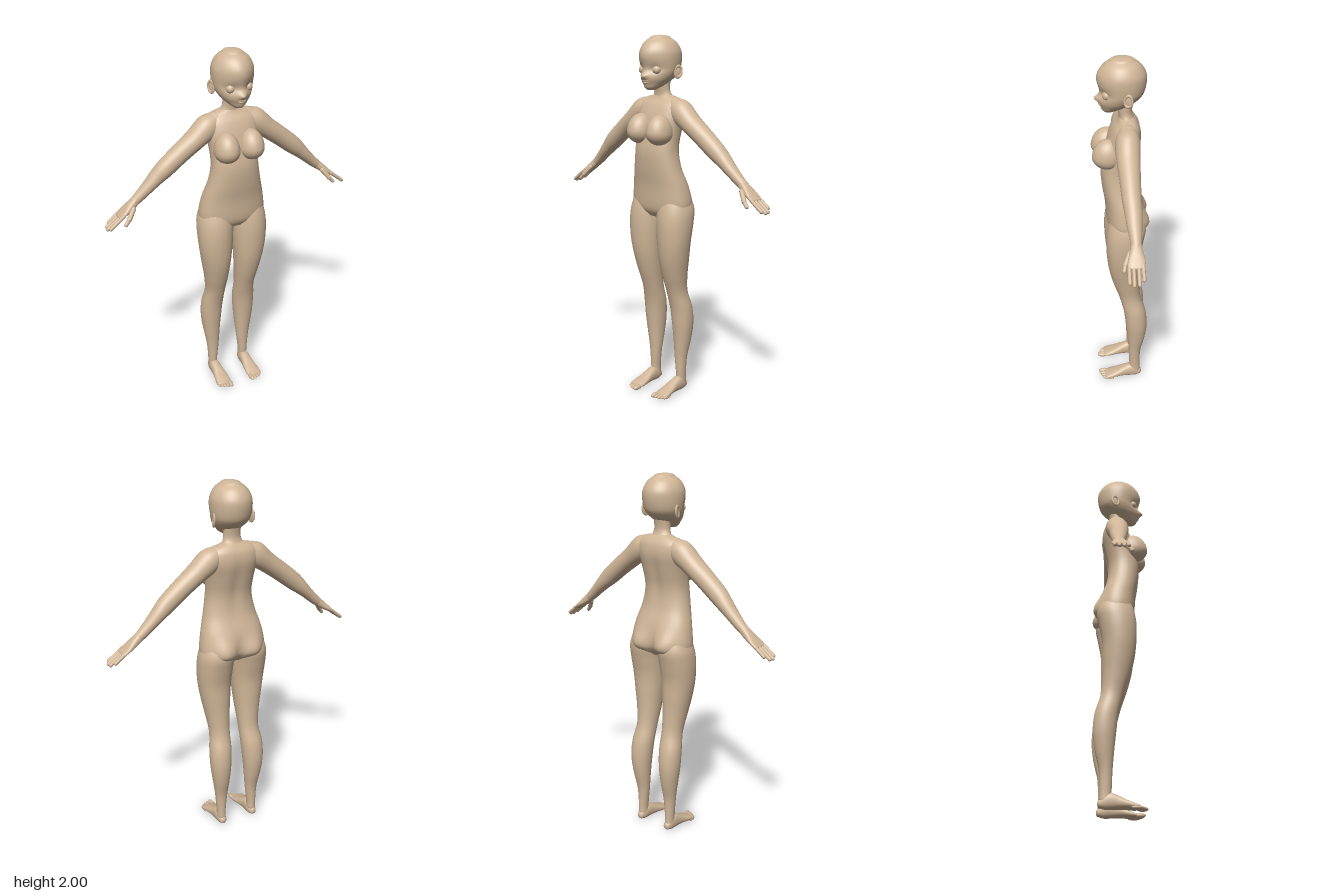
import * as THREE from 'three';

const skin = new THREE.MeshStandardMaterial({ color: 0xd0b698 });
skin.name = 'skin';

const bump = (a, b = 0) => Math.exp(-a * a - b * b);

// Smooth curve through the rows, sampled between each pair
function smoothRows(rows, steps = 5) {
  const out = [];
  const at = i => rows[Math.max(0, Math.min(rows.length - 1, i))];
  for (let i = 0; i < rows.length - 1; i++) {
    for (let s = 0; s < steps; s++) {
      const u = s / steps;
      out.push(rows[i].map((p1, c) => {
        const p0 = at(i - 1)[c], p2 = at(i + 1)[c], p3 = at(i + 2)[c];
        return 0.5 * (2 * p1 + (p2 - p0) * u + (2 * p0 - 5 * p1 + 4 * p2 - p3) * u * u
          + (3 * p1 - p0 - 3 * p2 + p3) * u * u * u);
      }));
    }
  }
  out.push(rows[rows.length - 1]);
  return out;
}

// Closed skin over oval cross-sections: rows are [y, xMin, xMax, zMin, zMax]
function loft(rows, { capStart = 0.01, capEnd = 0.01, power = 2, sides = 40, deform } = {}) {
  const body = smoothRows(rows);
  const cap = (row, h) => [1, 2, 3, 4, 5, 6].map(k => {
    const a = k / 6 * Math.PI / 2, s = Math.max(Math.cos(a), 0.001);
    const [y, x0, x1, z0, z1] = row, cx = (x0 + x1) / 2, cz = (z0 + z1) / 2;
    return [y + h * Math.sin(a), cx + (x0 - cx) * s, cx + (x1 - cx) * s, cz + (z0 - cz) * s, cz + (z1 - cz) * s];
  });
  const rings = [...cap(body[0], -capStart).reverse(), ...body, ...cap(body[body.length - 1], capEnd)];
  const pos = [], index = [], v = new THREE.Vector3();
  const oval = w => Math.sign(w) * Math.pow(Math.abs(w), 2 / power);
  rings.forEach(([y, x0, x1, z0, z1], r) => {
    for (let i = 0; i < sides; i++) {
      const a = i / sides * Math.PI * 2;
      v.set((x0 + x1) / 2 + (x1 - x0) / 2 * oval(Math.cos(a)), y,
        (z0 + z1) / 2 + (z1 - z0) / 2 * oval(Math.sin(a)));
      if (deform) deform(v);
      pos.push(v.x, v.y, v.z);
      if (r < rings.length - 1) {
        const p = r * sides + i, q = r * sides + (i + 1) % sides;
        index.push(p, p + sides, q, q, p + sides, q + sides);
      }
    }
  });
  const g = new THREE.BufferGeometry();
  g.setAttribute('position', new THREE.Float32BufferAttribute(pos, 3));
  g.setIndex(index);
  g.computeVertexNormals();
  return g;
}

// Symmetric section: [y, halfWidth, back, front]
const even = rows => rows.map(([y, w, b, f]) => [y, -w, w, b, f]);

const ball = (x, y, z, rx, ry, rz) =>
  new THREE.SphereGeometry(1, 28, 20).scale(rx, ry, rz).translate(x, y, z);

// Rounded rod between two points
function rod(a, b, r) {
  const from = new THREE.Vector3(...a), to = new THREE.Vector3(...b);
  const dir = to.clone().sub(from);
  const g = new THREE.CapsuleGeometry(r, dir.length(), 6, 12);
  g.applyQuaternion(new THREE.Quaternion().setFromUnitVectors(new THREE.Vector3(0, 1, 0), dir.normalize()));
  return g.translate((a[0] + b[0]) / 2, (a[1] + b[1]) / 2, (a[2] + b[2]) / 2);
}

function mirrored(g) {
  const m = g.clone().scale(-1, 1, 1), ix = m.index;
  for (let i = 0; i < ix.count; i += 3) {
    const t = ix.getX(i);
    ix.setX(i, ix.getX(i + 1));
    ix.setX(i + 1, t);
  }
  return m;
}

export function createModel() {
  const model = new THREE.Group();
  model.name = 'mannequin';
  const add = (name, g) => {
    const mesh = new THREE.Mesh(g, skin);
    mesh.name = name;
    model.add(mesh);
  };
  const pair = (name, g) => {
    add('left' + name, g);
    add('right' + name, mirrored(g));
  };

  // Torso with rounded seat and a shallow spine groove
  add('torso', loft(even([
    [1.035, 0.1, -0.085, 0.05], [1.06, 0.165, -0.11, 0.068], [1.1, 0.189, -0.125, 0.078],
    [1.2, 0.175, -0.112, 0.085], [1.3, 0.147, -0.08, 0.1], [1.4, 0.13, -0.072, 0.105],
    [1.5, 0.135, -0.09, 0.085], [1.58, 0.148, -0.105, 0.065], [1.635, 0.145, -0.1, 0.042],
    [1.665, 0.115, -0.085, 0.018], [1.685, 0.06, -0.068, 0.008],
  ]), {
    power: 2.3, sides: 56, capStart: 0.015, capEnd: 0.005,
    deform: v => {
      if (v.z > -0.03) return;
      v.z -= 0.034 * bump((Math.abs(v.x) - 0.09) / 0.06, (v.y - 1.1) / 0.07);
      v.z += 0.016 * bump(v.x / 0.02, (v.y - 1.08) / 0.07);
      v.z += 0.01 * bump(v.x / 0.03, (v.y - 1.45) / 0.14);
    },
  }));

  // Chest, drawn out upwards into the collar
  const chest = ball(0, 0, 0, 0.068, 0.064, 0.08);
  const cp = chest.attributes.position;
  for (let i = 0; i < cp.count; i++) if (cp.getY(i) > 0) cp.setY(i, cp.getY(i) * 1.55);
  chest.computeVertexNormals();
  pair('Chest', chest.rotateX(-0.12).translate(0.07, 1.49, 0.072));

  add('neck', loft(even([
    [1.65, 0.085, -0.085, 0.018], [1.675, 0.066, -0.073, 0.01], [1.7, 0.051, -0.062, 0.01],
    [1.73, 0.047, -0.06, 0.015], [1.79, 0.05, -0.07, 0.02],
  ])));

  // Head, narrowing towards the face, with eye sockets
  add('head', loft(even([
    [1.718, 0.026, 0.03, 0.086], [1.728, 0.042, 0.005, 0.096], [1.745, 0.06, -0.03, 0.102],
    [1.77, 0.082, -0.075, 0.112], [1.8, 0.098, -0.108, 0.112], [1.83, 0.106, -0.123, 0.106],
    [1.88, 0.11, -0.132, 0.119], [1.92, 0.105, -0.128, 0.115], [1.96, 0.083, -0.103, 0.088],
    [1.985, 0.05, -0.07, 0.053],
  ]), {
    sides: 64, capStart: 0.005, capEnd: 0.014,
    deform: v => {
      if (v.z <= 0) return;
      v.x *= 1 - 0.25 * (v.z / 0.12) ** 2;
      v.z -= 0.012 * bump((Math.abs(v.x) - 0.05) / 0.025, (v.y - 1.82) / 0.022);
      v.z += 0.022 * bump(v.x / 0.02, (v.y - 1.788) / 0.014);
    },
  }));
  pair('Eye', ball(0.05, 1.82, 0.07, 0.023, 0.023, 0.024));
  add('upperLip', ball(0, 1.762, 0.104, 0.024, 0.005, 0.009));
  add('lowerLip', ball(0, 1.753, 0.101, 0.019, 0.005, 0.009));

  // Ears
  const place = g => g.rotateY(Math.PI / 2 - 0.35).rotateX(-0.12).translate(0.108, 1.81, -0.032);
  pair('EarRim', place(new THREE.TorusGeometry(0.02, 0.006, 10, 28).scale(1, 1.45, 1)));
  pair('EarBowl', place(ball(0, 0, -0.003, 0.02, 0.029, 0.006)));

  // Legs
  pair('Leg', loft([
    [0.05, 0.075, 0.125, -0.11, -0.05], [0.1, 0.074, 0.126, -0.109, -0.047],
    [0.2, 0.063, 0.134, -0.113, -0.043], [0.3, 0.054, 0.15, -0.135, -0.035],
    [0.4, 0.045, 0.163, -0.146, -0.025], [0.5, 0.038, 0.163, -0.137, -0.013],
    [0.6, 0.035, 0.15, -0.108, 0.012], [0.7, 0.027, 0.162, -0.1, 0.045],
    [0.8, 0.018, 0.18, -0.1, 0.07], [0.9, 0.01, 0.195, -0.102, 0.082],
    [1.0, 0.003, 0.201, -0.12, 0.084], [1.08, 0.001, 0.194, -0.132, 0.074],
    [1.16, 0.02, 0.165, -0.105, 0.05],
  ], { capEnd: 0.03, power: 2.1 }));

  // Feet, lofted from heel to toes, then laid flat
  pair('Foot', loft([
    [-0.105, 0.08, 0.12, -0.05, -0.008], [-0.08, 0.073, 0.127, -0.075, -0.001],
    [-0.05, 0.07, 0.13, -0.085, -0.001], [-0.01, 0.066, 0.132, -0.07, -0.003],
    [0.03, 0.06, 0.138, -0.05, -0.003], [0.06, 0.057, 0.142, -0.038, -0.001],
    [0.088, 0.058, 0.143, -0.026, -0.003],
  ], { capStart: 0.014, capEnd: 0.012, power: 2.3 }).rotateX(Math.PI / 2));
  [[0.07, 0.013, 0.137], [0.09, 0.0105, 0.133], [0.107, 0.0095, 0.126], [0.122, 0.009, 0.117], [0.135, 0.0085, 0.107]]
    .forEach(([x, r, tip], i) => pair('Toe' + (i + 1), ball(x, r, tip - 0.03, r, r, 0.03)));

  // Arms and hands are built along y, then swung out from the shoulder
  const swing = g => g.rotateZ(-2.228).translate(0.13, 1.6, 0);
  pair('Arm', swing(loft([
    [-0.06, -0.045, 0.03, -0.075, 0.015], [0, -0.07, 0.06, -0.09, 0.036],
    [0.1, -0.06, 0.052, -0.085, 0.035], [0.2, -0.058, 0.047, -0.08, 0.027],
    [0.31, -0.053, 0.046, -0.077, 0.02], [0.37, -0.042, 0.042, -0.077, 0.012],
    [0.43, -0.028, 0.04, -0.073, 0.005], [0.5, -0.016, 0.041, -0.067, -0.006],
    [0.55, -0.01, 0.038, -0.062, -0.012],
  ], { capStart: 0.03 })));
  pair('Palm', swing(loft([
    [0.53, -0.009, 0.037, -0.063, -0.011], [0.57, -0.008, 0.036, -0.068, -0.002],
    [0.61, -0.003, 0.029, -0.076, 0.008], [0.65, 0.001, 0.022, -0.076, 0.01],
  ], { power: 2.4 })));
  [[-0.064, 0.712], [-0.042, 0.735], [-0.018, 0.738], [0.003, 0.725]].forEach(([z, tip], i) =>
    pair('Finger' + (i + 1), swing(rod([0.012, 0.63, z], [0.011, tip, z * 1.03 + 0.002], 0.0095))));
  pair('Thumb', swing(rod([0.024, 0.57, -0.004], [0.038, 0.625, 0.02], 0.013)));
  pair('ThumbTip', swing(rod([0.037, 0.62, 0.019], [0.043, 0.655, 0.026], 0.0105)));

  return model;
}
